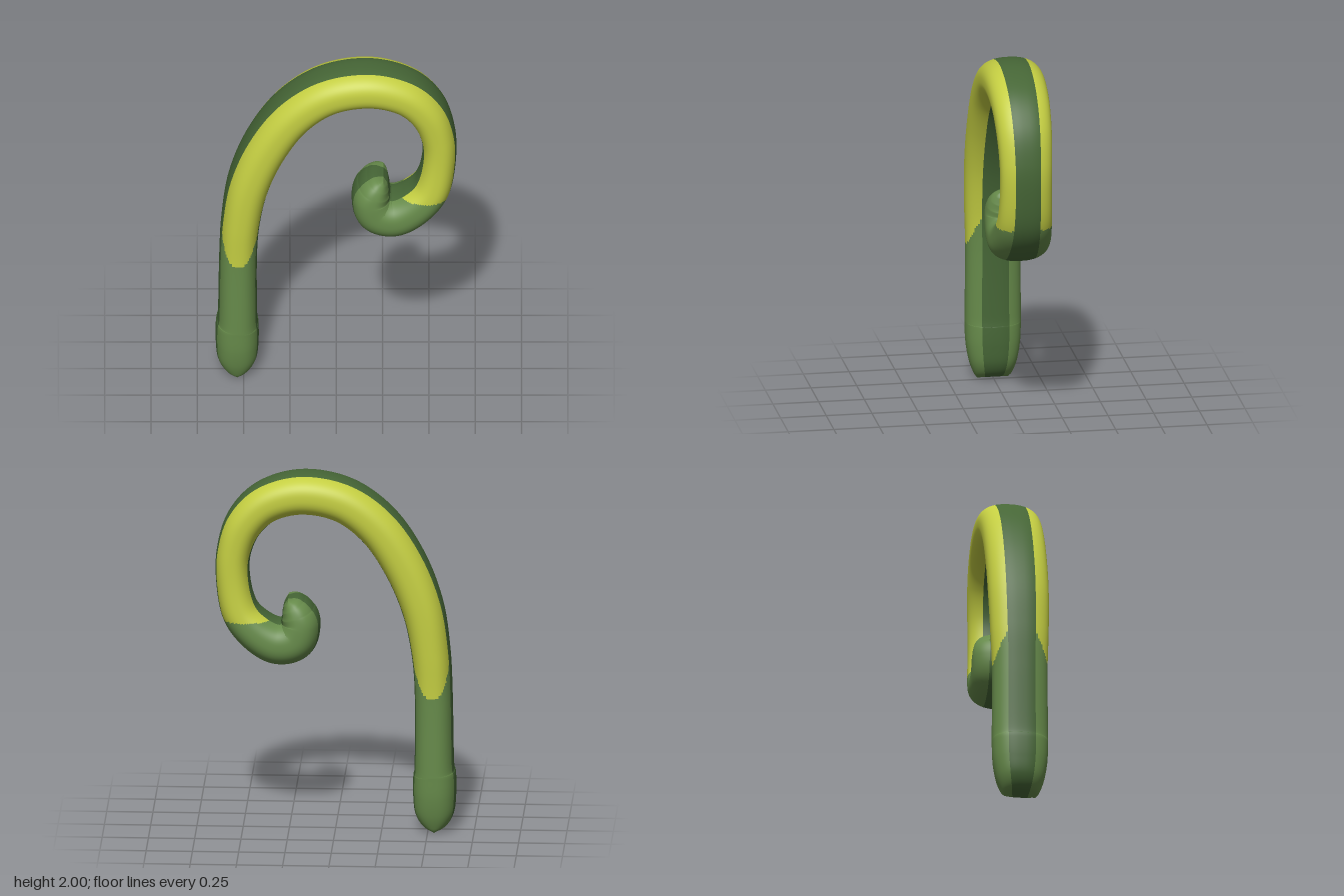
import * as THREE from 'three';

const RINGS = 420, SIDES = 72;

// Centre line and size: x, y, half width in the plane of the curl, half depth in z
const STATIONS = [
  [-0.535, 0, 0, 0.085], [-0.535, 0.03, 0.065, 0.105], [-0.535, 0.1, 0.105, 0.13],
  [-0.535, 0.2, 0.116, 0.147], [-0.535, 0.31, 0.115, 0.152], [-0.533, 0.38, 0.106, 0.152],
  [-0.53, 0.75, 0.102, 0.15], [-0.515, 1.0, 0.105, 0.158], [-0.47, 1.25, 0.113, 0.164],
  [-0.375, 1.49, 0.118, 0.165], [-0.235, 1.7, 0.118, 0.165], [-0.05, 1.84, 0.116, 0.165],
  [0.17, 1.885, 0.115, 0.163], [0.365, 1.835, 0.11, 0.157], [0.49, 1.715, 0.103, 0.15],
  [0.55, 1.55, 0.093, 0.142], [0.553, 1.38, 0.092, 0.14], [0.515, 1.215, 0.1, 0.147],
  [0.43, 1.11, 0.11, 0.158], [0.32, 1.05, 0.12, 0.166], [0.225, 1.07, 0.122, 0.166],
  [0.19, 1.15, 0.108, 0.165], [0.205, 1.21, 0.093, 0.157], [0.227, 1.253, 0.07, 0.14],
  [0.245, 1.28, 0.042, 0.115], [0.255, 1.295, 0, 0.09],
];
const CURL_START = 18;

export function createModel() {
  const paint = (name, color) => Object.assign(new THREE.MeshStandardMaterial({ color }), { name });
  const materials = [
    paint('side green', 0x668a4a),
    paint('rim green', 0x466636),
    paint('yellow', 0xc4ce42),
  ];

  const spline = (pts) => new THREE.CatmullRomCurve3(pts, false, 'catmullrom', 0.5);
  const path = spline(STATIONS.map(([x, y]) => new THREE.Vector3(x, y, 0)));
  const size = spline(STATIONS.map(([, , w, d]) => new THREE.Vector3(w, d, 0)));

  // Rounded oval section, swept along the path
  const rounded = (v) => Math.sign(v) * Math.abs(v) ** (2 / 2.4);
  const positions = [];
  for (let i = 0; i <= RINGS; i++) {
    const t = i / RINGS;
    const c = path.getPoint(t), dir = path.getTangent(t), s = size.getPoint(t);
    for (let j = 0; j < SIDES; j++) {
      const a = (j / SIDES) * Math.PI * 2;
      const u = Math.max(0, s.x) * rounded(Math.cos(a));
      positions.push(c.x - dir.y * u, c.y + dir.x * u, s.y * rounded(Math.sin(a)));
    }
  }

  // Colour rule: rim band inside and outside the curl, yellow flanks, green ends
  const colourOf = (i, j) => {
    const t = (i + 0.5) / RINGS, a = ((j + 0.5) / SIDES) * Math.PI * 2;
    if (Math.abs(rounded(Math.sin(a))) < 0.52) return 1;
    const c = path.getPoint(t), edge = rounded(Math.cos(a));
    if (c.x < 0) return c.y > 0.77 + 0.22 * Math.abs(edge) ** 3 ? 2 : 0;
    const y = c.y + path.getTangent(t).x * size.getPoint(t).x * edge;
    return t * (STATIONS.length - 1) < CURL_START + 0.3 && y > 1.18 ? 2 : 0;
  };
  const faces = [[], [], []];
  for (let i = 0; i < RINGS; i++) {
    for (let j = 0; j < SIDES; j++) {
      const k = (j + 1) % SIDES;
      const a = i * SIDES + j, b = i * SIDES + k, c = a + SIDES, d = b + SIDES;
      faces[colourOf(i, j)].push(a, b, c, b, d, c);
    }
  }

  const geometry = new THREE.BufferGeometry();
  geometry.setAttribute('position', new THREE.Float32BufferAttribute(positions, 3));
  geometry.setIndex(faces.flat());
  let start = 0;
  faces.forEach((list, m) => {
    geometry.addGroup(start, list.length, m);
    start += list.length;
  });
  geometry.computeVertexNormals();

  const stalk = new THREE.Mesh(geometry, materials);
  stalk.name = 'curledStalk';
  const group = new THREE.Group();
  group.name = 'curledTendril';
  group.add(stalk);
  return group;
}
